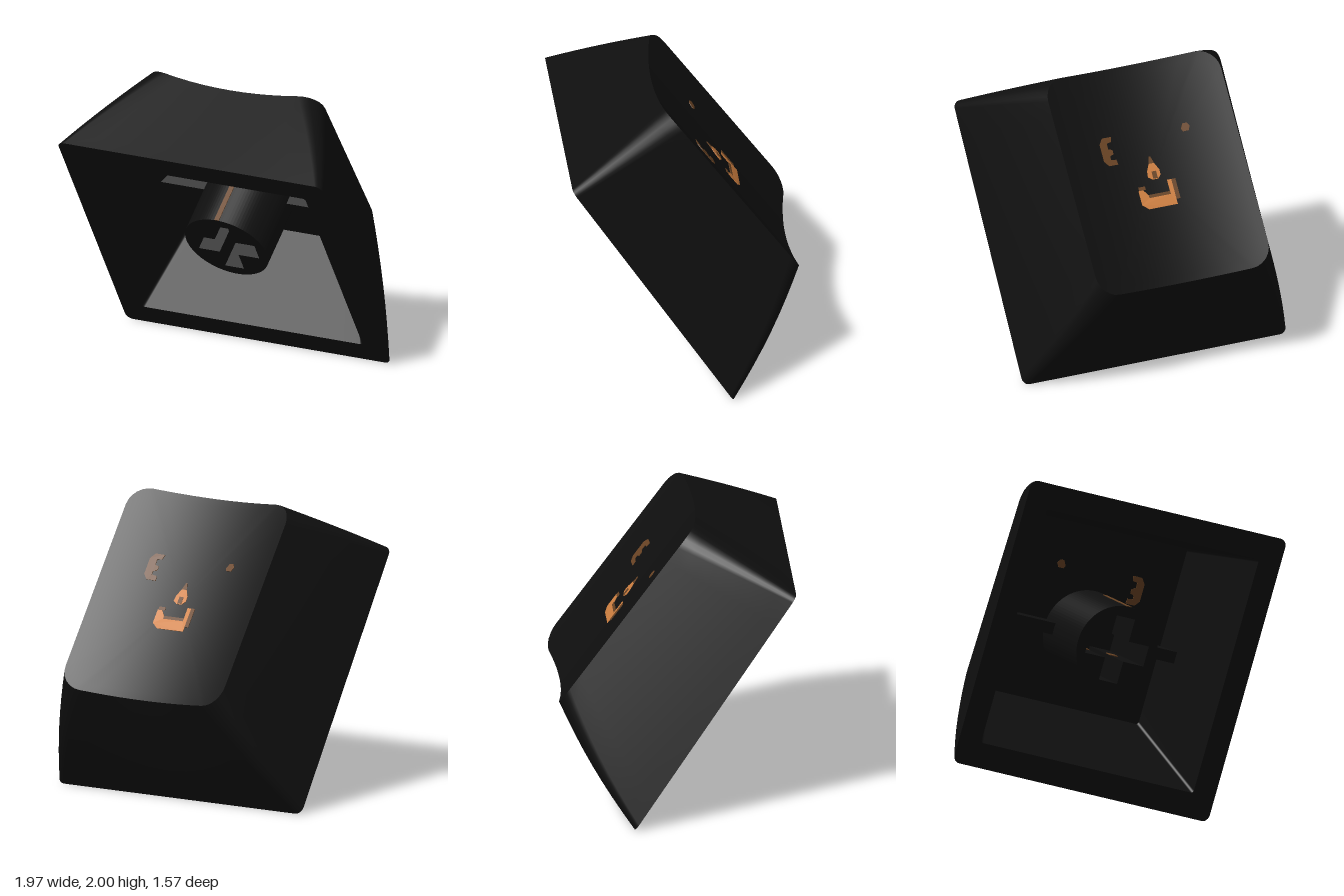
import * as THREE from 'three';

const mat = (name, color, side = THREE.FrontSide) => {
  const m = new THREE.MeshStandardMaterial({ color, side });
  m.name = name;
  return m;
};

// Height of the gently scooped, sloping top face
const topY = (x, z) => 0.744 - 0.052 * z + 0.187 * x * x;
const CEILING = 0.6;

// Rounded rectangle as a loop of [x, z], with subdivided straight sides
function roundedLoop(hx, zMin, zMax, r) {
  const pts = [];
  const corners = [[hx - r, zMax - r], [-hx + r, zMax - r], [-hx + r, zMin + r], [hx - r, zMin + r]];
  corners.forEach(([cx, cz], k) => {
    for (let i = 0; i <= 6; i++) {
      const a = (k + i / 6) * Math.PI / 2;
      pts.push([cx + r * Math.cos(a), cz + r * Math.sin(a)]);
    }
    const [x0, z0] = pts[pts.length - 1];
    const [nx, nz] = corners[(k + 1) % 4];
    const a = (k + 1) * Math.PI / 2;
    const x1 = nx + r * Math.cos(a), z1 = nz + r * Math.sin(a);
    for (let i = 1; i < 10; i++) pts.push([x0 + (x1 - x0) * i / 10, z0 + (z1 - z0) * i / 10]);
  });
  return pts;
}

// Skin a list of rings of [x, y, z]
function loft(rings) {
  const n = rings[0].length, index = [];
  for (let j = 0; j < rings.length - 1; j++) {
    for (let i = 0; i < n; i++) {
      const a = j * n + i, b = j * n + (i + 1) % n;
      index.push(a, a + n, b, b, a + n, b + n);
    }
  }
  const g = new THREE.BufferGeometry();
  g.setAttribute('position', new THREE.Float32BufferAttribute(rings.flat(2), 3));
  g.setIndex(index);
  g.computeVertexNormals();
  return g;
}

// Rings shrinking from a loop to its middle
function capRings(loop, zMid, height) {
  return Array.from({ length: 15 }, (_, j) => {
    const s = Math.max(1 - j / 14, 0.001);
    return loop.map(([x, z]) => {
      const px = x * s, pz = zMid + (z - zMid) * s;
      return [px, height(px, pz), pz];
    });
  });
}

export function createModel() {
  const black = mat('black plastic', 0x0f0f0f);
  const orange = mat('orange', 0xd08040);
  const brown = mat('brown', 0x6a4424);

  const model = new THREE.Group();
  model.name = 'keycap';
  const cap = new THREE.Group();
  cap.name = 'tiltedCap';
  cap.rotation.x = -0.987;
  cap.position.set(0, 0.825, 0.245);
  model.add(cap);
  const add = (name, geometry, material) => {
    const m = new THREE.Mesh(geometry, material);
    m.name = name;
    cap.add(m);
    return m;
  };

  // Outer walls, slightly bulged on the long sloping side
  const lerp = THREE.MathUtils.lerp;
  const outer = t => roundedLoop(
    lerp(0.985, 0.645, t),
    lerp(-0.99, -0.61, t) - 0.015 * Math.sin(Math.PI * t),
    lerp(0.99, 0.917, t),
    lerp(0.05, 0.15, t));
  const wallRings = [];
  for (let j = 0; j <= 8; j++) {
    const t = j / 8;
    wallRings.push(outer(t).map(([x, z]) => [x, t * topY(x, z), z]));
  }
  add('outerWalls', loft(wallRings), black);
  add('topFace', loft(capRings(outer(1), 0.15, topY)), black);

  // Hollow underside: rim, cavity walls and ceiling
  const flat = (loop, y) => loop.map(([x, z]) => [x, y, z]);
  const mouthLoop = roundedLoop(0.82, -0.82, 0.82, 0.02);
  const ceilingLoop = roundedLoop(0.58, -0.51, 0.72, 0.02);
  add('rim', loft([flat(mouthLoop, 0), flat(outer(0), 0)]), black);
  add('cavityWalls', loft([flat(ceilingLoop, CEILING), flat(mouthLoop, 0)]), black);
  add('ceiling', loft(capRings(ceilingLoop, 0.1, () => CEILING).reverse()), black);

  // Stem with a cross-shaped socket
  const disc = new THREE.Shape().absarc(0, 0, 0.3, 0, Math.PI * 2);
  const w = 0.07, l = 0.225;
  disc.holes.push(new THREE.Path([
    [w, w], [w, l], [-w, l], [-w, w], [-l, w], [-l, -w],
    [-w, -w], [-w, -l], [w, -l], [w, -w], [l, -w], [l, w],
  ].map(p => new THREE.Vector2(...p))));
  const stem = new THREE.ExtrudeGeometry(disc, { depth: 0.55, bevelEnabled: false, curveSegments: 48 });
  stem.rotateX(-Math.PI / 2);
  stem.translate(0, 0.05, 0);
  add('stem', stem, black);

  const box = (name, size, pos, material) =>
    add(name, new THREE.BoxGeometry(...size), material).position.set(...pos);

  // Ribs from stem to side walls, and coloured marks in the socket
  for (const s of [-1, 1]) {
    box('rib', [0.36, 0.15, 0.08], [s * 0.46, 0.525, 0], black);
    box('socketMark', [0.06, 0.07, 0.006], [s * 0.11, 0.32, -0.067], brown);
  }
  box('stemStripe', [0.034, 0.4, 0.008], [0.003, 0.25, 0.3], brown);

  // Inlaid face, points given as [x, z] on the top face
  function inlay(name, points, material, lift = 0.004, onCeiling = false) {
    const shape = new THREE.Shape(points.map(([x, z]) => new THREE.Vector2(x, -z)));
    const g = new THREE.ExtrudeGeometry(shape, { depth: 0.006, bevelEnabled: false });
    g.rotateX(-Math.PI / 2);
    const p = g.attributes.position;
    for (let i = 0; i < p.count; i++) {
      const base = onCeiling ? CEILING - 0.004 : topY(p.getX(i), p.getZ(i)) + lift - 0.006;
      p.setY(i, p.getY(i) + base);
    }
    g.computeVertexNormals();
    add(name, g, material);
  }
  const rect = (x0, x1, z0, z1) => [[x0, z0], [x1, z0], [x1, z1], [x0, z1]];

  inlay('mouth', [[-0.11, -0.075], [0.1, -0.075], [0.145, -0.04], [0.145, 0.06], [0.11, 0.06],
    [0.08, 0.02], [0.08, 0], [-0.08, 0], [-0.08, 0.1], [-0.11, 0.1]], orange);
  inlay('mouthLeftShade', rect(-0.14, -0.11, -0.04, 0.1), brown);
  inlay('mouthInnerShade', rect(-0.08, 0.08, 0, 0.022), brown);
  inlay('mouthRightShade', rect(0.09, 0.14, 0.06, 0.085), brown);
  inlay('nose', [[-0.02, 0.12], [0.02, 0.12], [0.05, 0.14], [0.045, 0.18], [0.02, 0.23],
    [-0.02, 0.23], [-0.045, 0.18], [-0.045, 0.145]], orange);
  inlay('noseShade', rect(-0.018, 0.015, 0.125, 0.175), brown, 0.006);
  inlay('noseTip', [[-0.02, 0.23], [0.02, 0.23], [0.005, 0.28], [-0.005, 0.28]], brown);

  // Eyes run through the shell, so they show on the ceiling too
  const smallEye = [[-0.32, 0.4], [-0.28, 0.4], [-0.27, 0.42], [-0.29, 0.455], [-0.32, 0.455], [-0.335, 0.43]];
  const bigEye = [[0.24, 0.265], [0.31, 0.265], [0.34, 0.3], [0.34, 0.42], [0.31, 0.46], [0.24, 0.46],
    [0.25, 0.425], [0.285, 0.42], [0.285, 0.38], [0.255, 0.37], [0.255, 0.34], [0.285, 0.33],
    [0.285, 0.305], [0.245, 0.3]];
  for (const onCeiling of [false, true]) {
    inlay('smallEye', smallEye, brown, 0.004, onCeiling);
    inlay('bigEye', bigEye, brown, 0.004, onCeiling);
  }
  return model;
}
